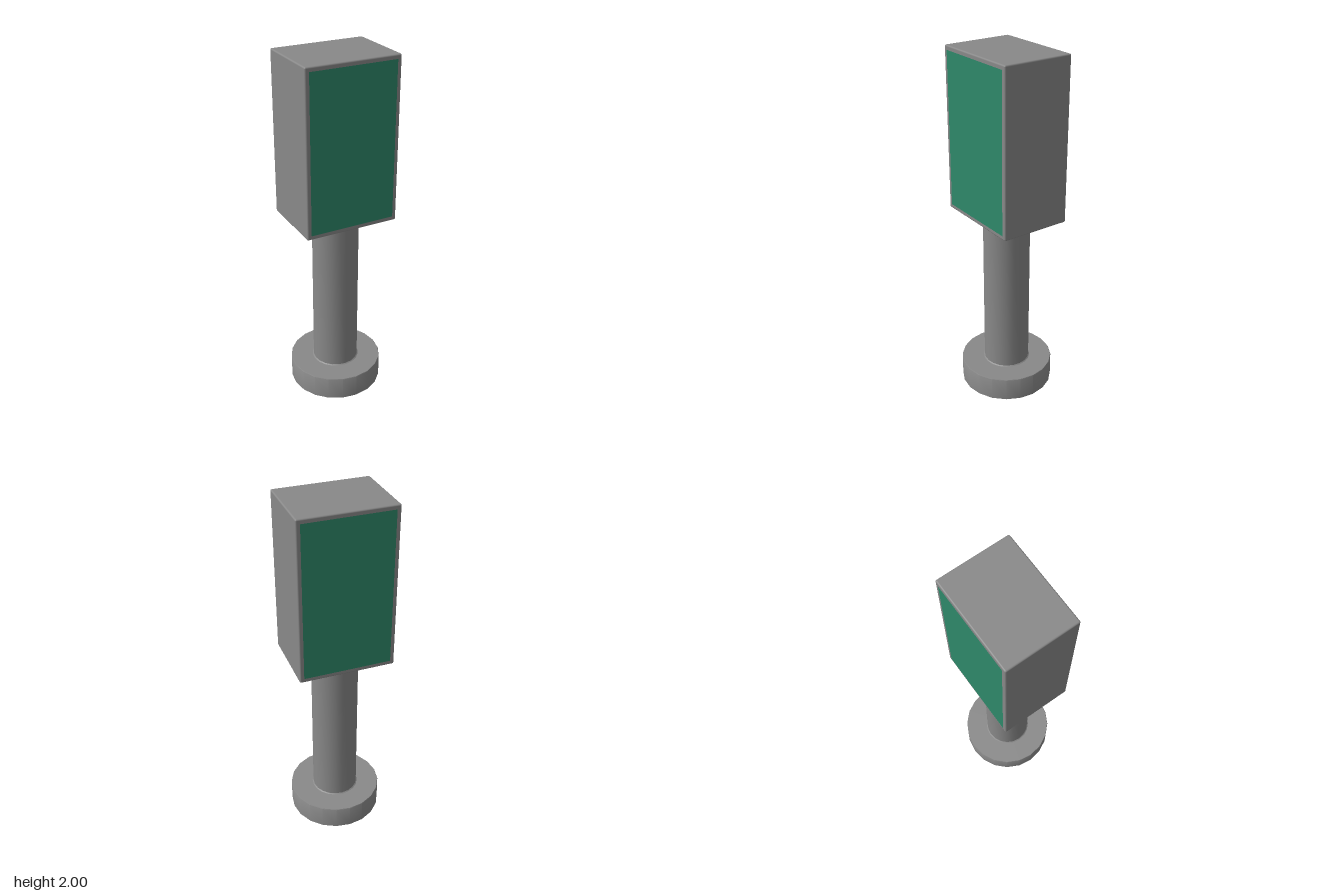
import * as THREE from 'three';
import { RoundedBoxGeometry } from 'three/addons/geometries/RoundedBoxGeometry.js';
import { toCreasedNormals } from 'three/addons/utils/BufferGeometryUtils.js';

const SIDES = 20;
const darkGrey = new THREE.MeshStandardMaterial({ color: 0x898989 });
const shell = new THREE.MeshStandardMaterial({ color: 0x898989, side: THREE.DoubleSide });
const green = new THREE.MeshStandardMaterial({ color: 0x2e896a });

// Open shell of revolution from [radius, height] pairs, bottom to top
function turned(name, profile) {
  const points = profile.map(([r, y]) => new THREE.Vector2(r, y));
  const geometry = toCreasedNormals(new THREE.LatheGeometry(points, SIDES), 0.6);
  const mesh = new THREE.Mesh(geometry, shell);
  mesh.name = name;
  return mesh;
}

export function createModel() {
  const group = new THREE.Group();
  group.name = 'signPost';

  // Hollow foot, open underneath, with a hole where the column stands
  group.add(turned('base', [[0.268, 0], [0.268, 0.134], [0.266, 0.137], [0.138, 0.137]]));

  // Hollow column with a small flare at its foot
  group.add(turned('column', [[0.138, 0.137], [0.132, 0.142], [0.132, 1.085]]));

  // Display box with softened edges
  const housing = new THREE.Mesh(new RoundedBoxGeometry(0.536, 0.92, 0.404, 2, 0.008), darkGrey);
  housing.name = 'housing';
  housing.position.y = 1.54;
  group.add(housing);

  // Coloured panels on front and back
  for (const side of [1, -1]) {
    const panel = new THREE.Mesh(new THREE.PlaneGeometry(0.49, 0.872), green);
    panel.name = side > 0 ? 'frontPanel' : 'backPanel';
    panel.position.set(0, 1.54, side * 0.203);
    panel.rotation.y = side > 0 ? 0 : Math.PI;
    group.add(panel);
  }
  return group;
}
